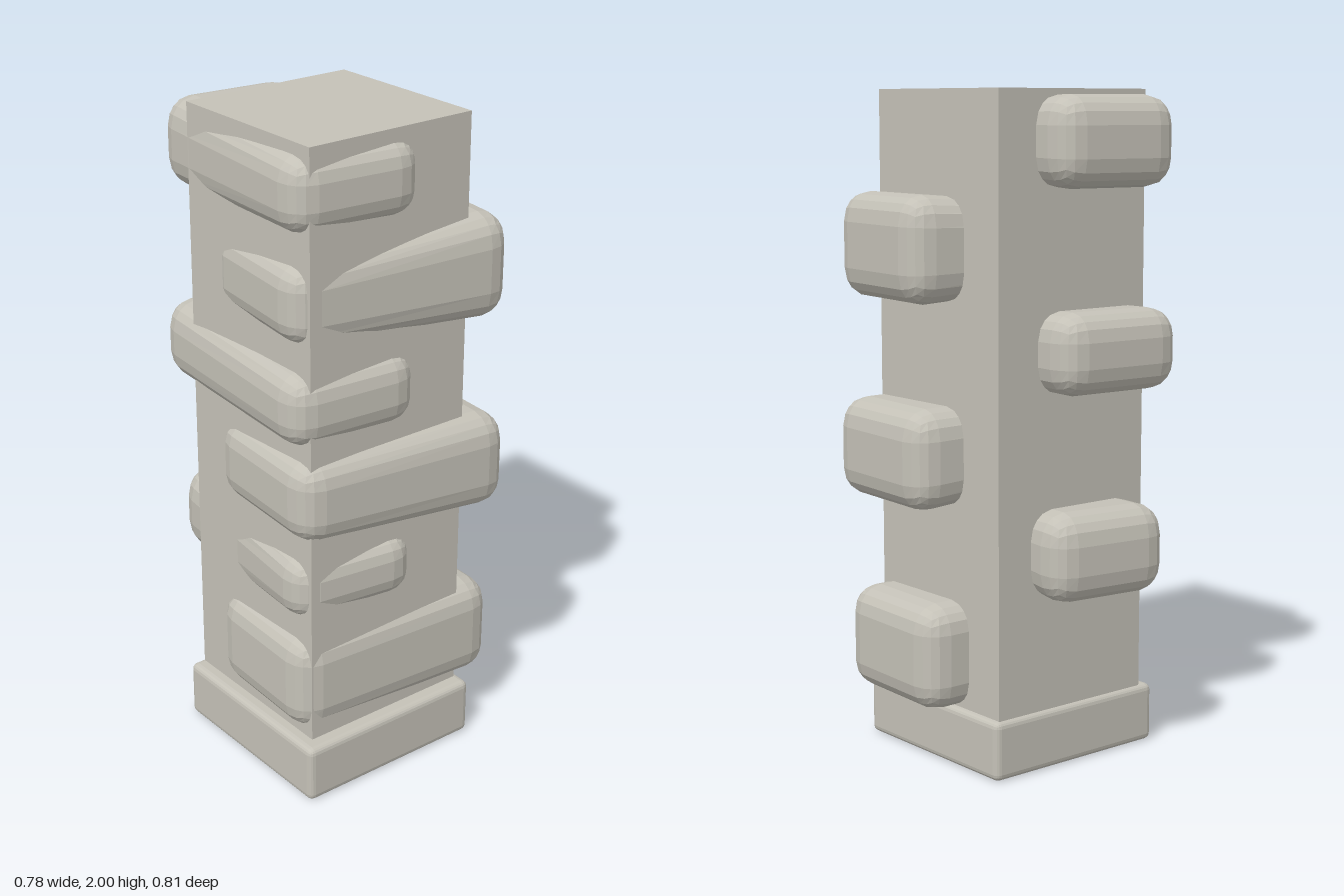
import * as THREE from 'three';
import { RoundedBoxGeometry } from 'three/addons/geometries/RoundedBoxGeometry.js';

const stone = new THREE.MeshStandardMaterial({ color: 0xc4c1b7, flatShading: true });
stone.name = 'pale stone';

// Worn block whose height changes along one axis: low and high are [bottom, top]
// at the negative and positive end of that axis.
function block(name, axis, { x, z, w, d, turn, low, high }) {
  const mid = (low[0] + low[1] + high[0] + high[1]) / 4;
  const h = (high[1] - high[0] + low[1] - low[0]) / 2;
  const geo = new RoundedBoxGeometry(w, h, d, 2, 0.08);
  const p = geo.attributes.position;
  const length = axis === 'x' ? w : d;
  for (let i = 0; i < p.count; i++) {
    const t = (axis === 'x' ? p.getX(i) : p.getZ(i)) / length + 0.5;
    const bottom = THREE.MathUtils.lerp(low[0], high[0], t);
    const top = THREE.MathUtils.lerp(low[1], high[1], t);
    p.setY(i, bottom + (p.getY(i) / h + 0.5) * (top - bottom) - mid);
  }
  geo.computeVertexNormals();
  const mesh = new THREE.Mesh(geo, stone);
  mesh.name = name;
  mesh.position.set(x, mid, z);
  mesh.rotation.y = turn;
  return mesh;
}

export function createModel() {
  const model = new THREE.Group();
  model.name = 'stonePillar';

  // Square shaft
  const shaft = new THREE.Mesh(new THREE.BoxGeometry(0.56, 1.98, 0.56), stone);
  shaft.name = 'shaft';
  shaft.position.set(-0.05, 1.01, 0.045);
  model.add(shaft);

  // Plinth with softened edges
  const plinth = new THREE.Mesh(new RoundedBoxGeometry(0.625, 0.18, 0.625, 2, 0.02), stone);
  plinth.name = 'plinth';
  plinth.position.set(-0.0625, 0.09, 0.0625);
  model.add(plinth);

  // Wide blocks wrapping the front corner
  [
    { x: 0, z: 0.12, w: 0.73, d: 0.45, turn: -0.04, low: [0.2, 0.51], high: [0.18, 0.5] },
    { x: 0.005, z: 0.145, w: 0.74, d: 0.47, turn: -0.07, low: [0.84, 1.09], high: [0.775, 1.08] },
    { x: 0.01, z: 0.127, w: 0.73, d: 0.465, turn: -0.12, low: [1.43, 1.66], high: [1.38, 1.705] },
  ].forEach((b, i) => model.add(block(`frontQuoin${i + 1}`, 'x', b)));

  // Narrow blocks running through to the back corner
  [
    { x: -0.125, z: -0.025, w: 0.41, d: 0.74, turn: -0.13, low: [0.515, 0.79], high: [0.575, 0.77] },
    { x: -0.15, z: -0.02, w: 0.43, d: 0.74, turn: -0.08, low: [1.125, 1.37], high: [1.13, 1.35] },
    { x: -0.14, z: -0.02, w: 0.42, d: 0.745, turn: -0.1, low: [1.715, 1.985], high: [1.75, 1.97] },
  ].forEach((b, i) => model.add(block(`backQuoin${i + 1}`, 'z', b)));

  return model;
}
